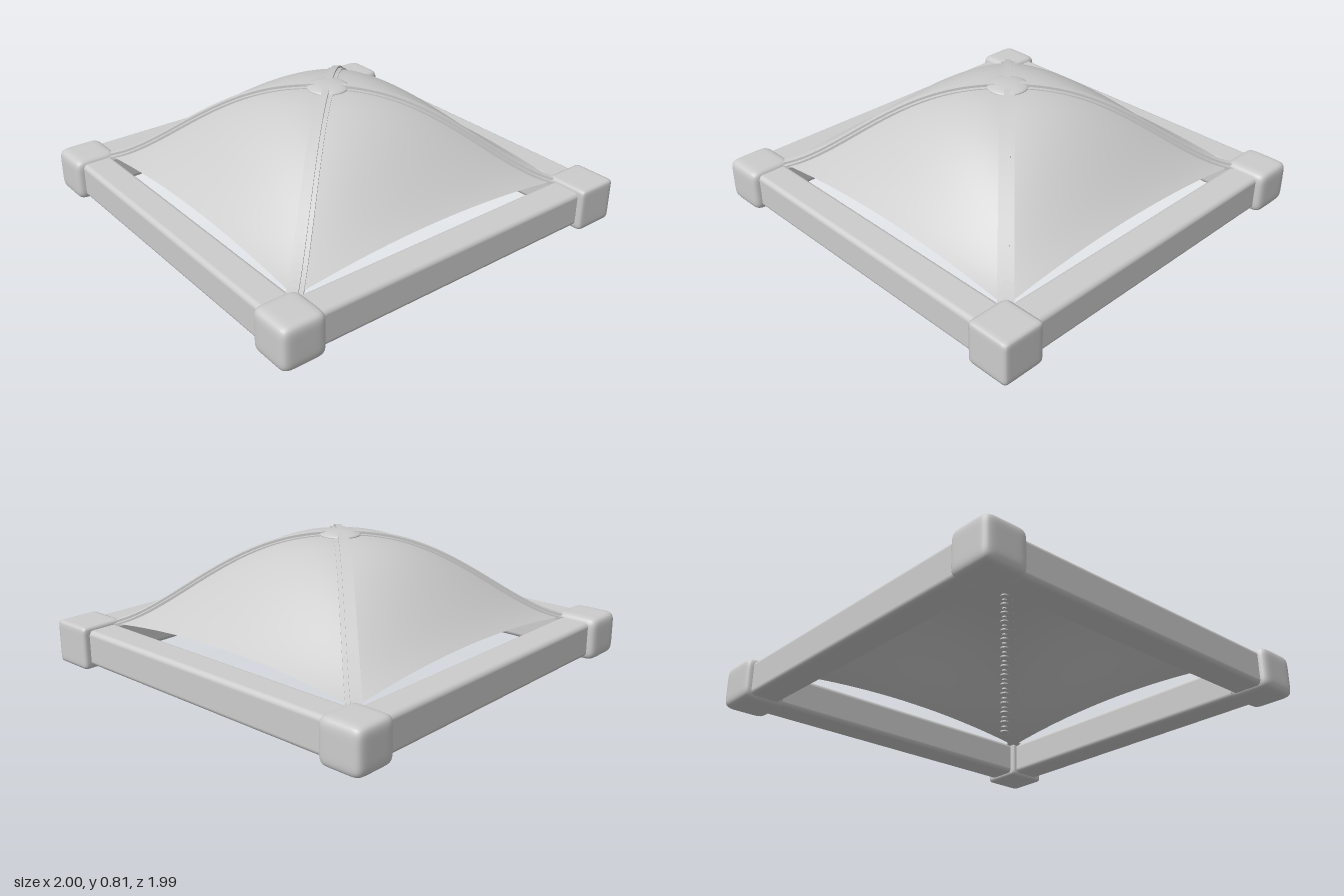
import * as THREE from 'three';
import { mergeVertices } from 'three/addons/utils/BufferGeometryUtils.js';
import { RoundedBoxGeometry } from 'three/addons/geometries/RoundedBoxGeometry.js';

const HALF = 0.8; // half width of the canopy

// height of the diagonal ridge and the extra swell of a panel, s = 0 centre, 1 rim
const ridge = s => 0.79 - s * s * (0.335 + 0.87 * s - 0.76 * s * s);
const swell = s => s * s * (0.42 - 0.36 * s);

// regular grid surface from a point function
function gridSurface(nu, nv, point) {
  const pos = [], idx = [];
  for (let i = 0; i <= nu; i++)
    for (let j = 0; j <= nv; j++) pos.push(...point(i / nu, j / nv, j));
  for (let i = 0; i < nu; i++)
    for (let j = 0; j < nv; j++) {
      const a = i * (nv + 1) + j, b = a + nv + 1;
      idx.push(a, b, a + 1, a + 1, b, b + 1);
    }
  const g = new THREE.BufferGeometry();
  g.setAttribute('position', new THREE.Float32BufferAttribute(pos, 3));
  g.setIndex(idx);
  return g;
}

// box swollen into a cushion; a higher power is squarer
function cushion(w, h, d, power) {
  let g = new THREE.BoxGeometry(2, 2, 2, 14, 14, 14);
  g.deleteAttribute('normal');
  g.deleteAttribute('uv');
  g = mergeVertices(g);
  const p = g.attributes.position, v = new THREE.Vector3();
  for (let i = 0; i < p.count; i++) {
    v.fromBufferAttribute(p, i);
    const n = (Math.abs(v.x) ** power + Math.abs(v.y) ** power + Math.abs(v.z) ** power) ** (1 / power);
    v.divideScalar(n);
    p.setXYZ(i, v.x * w / 2, v.y * h / 2, v.z * d / 2);
  }
  g.computeVertexNormals();
  return g;
}

export function createModel() {
  const model = new THREE.Group();
  const grey = new THREE.MeshStandardMaterial({ color: 0xcccccc, side: THREE.DoubleSide });
  grey.name = 'light grey';
  const add = (name, geometry, x = 0, y = 0, z = 0, turn = 0) => {
    const m = new THREE.Mesh(geometry, grey);
    m.name = name;
    m.position.set(x, y, z);
    m.rotation.y = turn;
    model.add(m);
    return m;
  };

  // curved panel, one quarter of the canopy
  const panel = gridSurface(28, 28, (u, v) => {
    const t = v * 2 - 1;
    return [t * u * HALF, ridge(u) + swell(u) * (1 - t * t), u * HALF];
  });
  panel.computeVertexNormals();

  // stepped rib swept down the diagonal: [sideways, up]
  const section = [[-0.036, -0.012], [-0.036, 0.006], [-0.016, 0.006], [-0.016, 0.018],
    [0.016, 0.018], [0.016, 0.006], [0.036, 0.006], [0.036, -0.012], [-0.036, -0.012]];
  const ribSurface = gridSurface(28, section.length - 1, (u, v, j) => {
    const s = 0.04 + 0.97 * u, [side, up] = section[j];
    const k = side * Math.SQRT1_2;
    return [s * HALF + k, ridge(s) + up, s * HALF - k];
  });
  const rib = ribSurface.toNonIndexed();
  rib.computeVertexNormals();

  // frame rails
  const rail = new RoundedBoxGeometry(1.7, 0.178, 0.163, 4, 0.025);

  for (let i = 0; i < 4; i++) {
    const turn = i * Math.PI / 2, s = Math.sin(turn), c = Math.cos(turn);
    add('canopyPanel', panel, 0, 0, 0, turn);
    add('rib', rib, 0, 0, 0, turn);
    add('frameRail', rail, s * 0.882, 0.261, c * 0.882, turn);
  }

  // corner blocks, one squarer than the rest
  const soft = cushion(0.226, 0.218, 0.226, 7);
  const square = cushion(0.22, 0.214, 0.22, 18);
  for (const x of [-1, 1])
    for (const z of [-1, 1])
      add('cornerBlock', x > 0 && z > 0 ? square : soft, x * 0.886, 0.262, z * 0.884);

  // crown cap
  const cap = add('crownCap', new THREE.SphereGeometry(0.105, 32, 16), 0, 0.79, 0);
  cap.scale.y = 0.2;

  // hanging row of flat beads
  const wide = new THREE.CylinderGeometry(0.021, 0.021, 0.007, 12);
  const narrow = new THREE.CylinderGeometry(0.014, 0.014, 0.007, 12);
  for (let i = 0; i < 31; i++)
    add('chainBead', i % 2 ? narrow : wide, 0, 0.0035 + i * 0.025, 0);

  return model;
}
